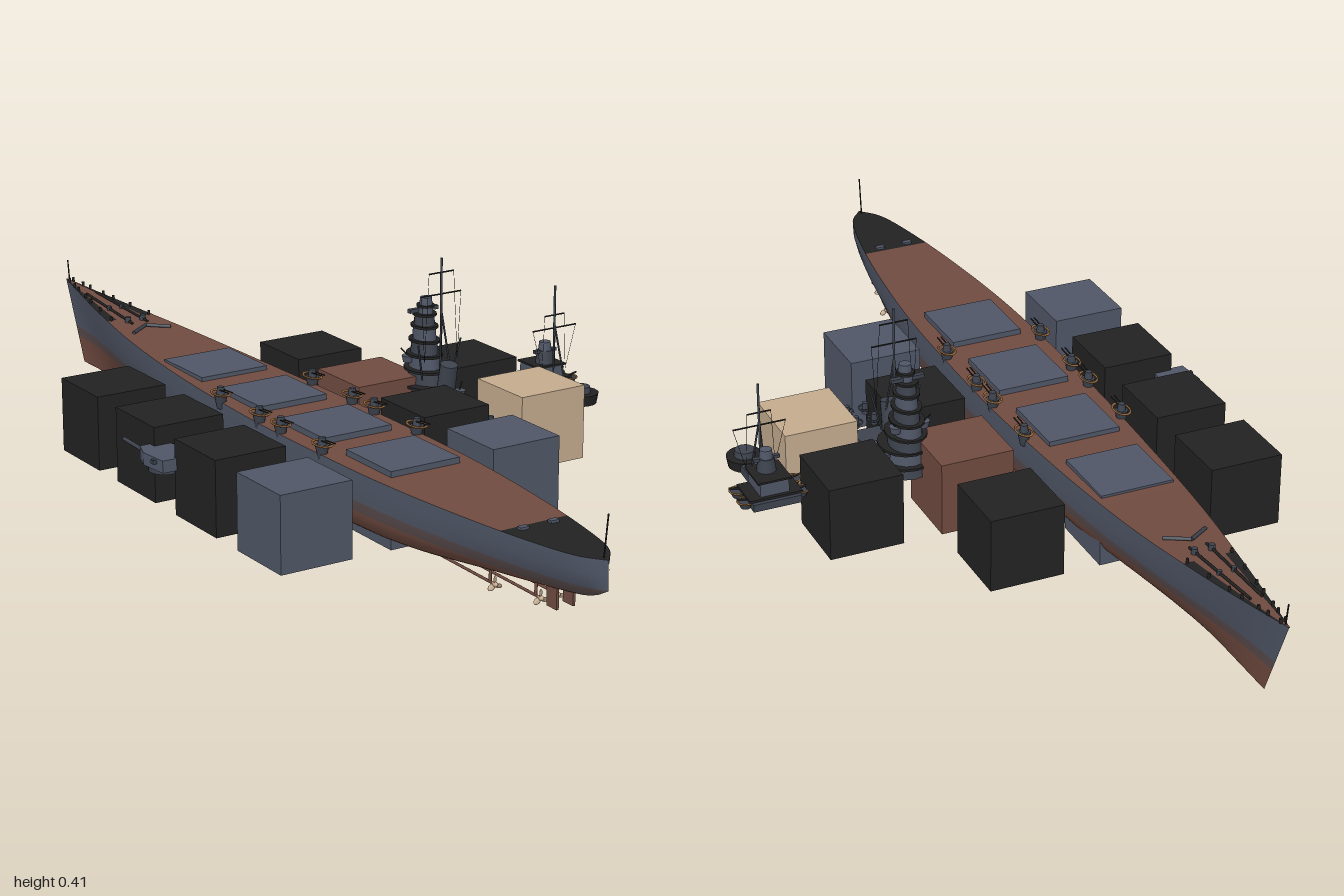
import * as THREE from 'three';

const material = (name, color, side = THREE.FrontSide) => {
  const m = new THREE.MeshStandardMaterial({ color, side });
  m.name = name;
  return m;
};

export function createModel() {
  const slate = material('slate grey', 0x4f5666);
  const brown = material('red brown', 0x704b40);
  const blend = material('waterline blend', 0x594b4c);
  const dark = material('near black', 0x222222);
  const tan = material('pale bronze', 0xc4ab8e);
  const steel = material('dark steel', 0x3d434e);
  const brass = material('brass', 0x96683a);
  const root = new THREE.Group();
  root.name = 'shipKit';

  const group = (name, x = 0, y = 0, z = 0, parent = root) => {
    const g = new THREE.Group();
    g.name = name;
    g.position.set(x, y, z);
    parent.add(g);
    return g;
  };
  const add = (parent, name, geo, mat, x = 0, y = 0, z = 0) => {
    const m = new THREE.Mesh(geo, mat);
    m.name = name;
    m.position.set(x, y, z);
    parent.add(m);
    return m;
  };
  const box = (p, name, mat, w, h, d, x, y, z) => add(p, name, new THREE.BoxGeometry(w, h, d), mat, x, y, z);
  const cyl = (p, name, mat, r0, r1, h, x, y, z, n = 12) =>
    add(p, name, new THREE.CylinderGeometry(r1, r0, h, n), mat, x, y, z);
  const rod = (p, name, mat, a, b, r, n = 6) => {
    const va = new THREE.Vector3(...a), vb = new THREE.Vector3(...b), dir = vb.clone().sub(va);
    const m = add(p, name, new THREE.CylinderGeometry(r, r, dir.length(), n), mat);
    m.position.copy(va).add(vb).multiplyScalar(0.5);
    m.quaternion.setFromUnitVectors(new THREE.Vector3(0, 1, 0), dir.normalize());
    return m;
  };

  // Hull: lofted sections [z, half width, deck height, keel height, fullness]
  const stations = [
    [-1, 0.001, 0.188, 0.012, 1], [-0.9, 0.02, 0.18, 0.012, 1.1], [-0.75, 0.047, 0.17, 0.012, 1.4],
    [-0.55, 0.077, 0.16, 0.012, 2], [-0.3, 0.1, 0.152, 0.012, 3.2], [0, 0.115, 0.148, 0.012, 4],
    [0.3, 0.115, 0.148, 0.012, 4], [0.5, 0.106, 0.148, 0.018, 3.5], [0.7, 0.085, 0.148, 0.038, 2.8],
    [0.85, 0.061, 0.148, 0.053, 2.4], [0.95, 0.036, 0.148, 0.067, 2.2], [1, 0.001, 0.147, 0.09, 2],
  ];
  const spline = f => new THREE.CatmullRomCurve3(stations.map(f), false, 'catmullrom').getPoints(88);
  const upper = spline(s => new THREE.Vector3(s[1], s[2], s[0]));
  const lower = spline(s => new THREE.Vector3(s[4], s[3], s[0]));
  const hull = group('hull', -0.165);

  // Builds a skin from rows of points, with one material index per face
  const skin = (name, rows, mats, pick, flip) => {
    const n = rows[0].length, lists = mats.map(() => []);
    for (let i = 0; i < rows.length - 1; i++) for (let j = 0; j < n - 1; j++) {
      const a = i * n + j, b = a + 1, c = a + n, d = c + 1;
      lists[pick(i, j)].push(...(flip ? [a, c, b, b, c, d] : [a, b, c, b, d, c]));
    }
    const geo = new THREE.BufferGeometry();
    geo.setAttribute('position', new THREE.Float32BufferAttribute(rows.flat(2), 3));
    geo.setIndex(lists.flat());
    let start = 0;
    lists.forEach((l, k) => { geo.addGroup(start, l.length, k); start += l.length; });
    geo.computeVertexNormals();
    return add(hull, name, geo, mats);
  };
  const LOW = 9, W0 = 0.068, W1 = 0.09;
  const sections = upper.map((u, i) => {
    const { x: full, y: keel } = lower[i], ys = [];
    for (let k = 0; k <= LOW; k++) ys.push(keel + Math.max(0, W0 - keel) * (k / LOW) ** 2);
    ys.push(Math.max(keel, W1), (Math.max(keel, W1) + u.y) / 2, u.y);
    const rake = 0.075 * THREE.MathUtils.smoothstep(-u.z, 0.6, 1);
    const side = ys.map(y => {
      const f = (y - keel) / (u.y - keel);
      return [u.x * (1 - (1 - f) ** full) ** (1 / full), y, u.z + rake * (1 - f)];
    });
    return [...side.slice(1).reverse().map(([x, y, z]) => [-x, y, z]), ...side];
  });
  const half = LOW + 3;
  skin('hullSides', sections, [slate, blend, brown], (i, j) => {
    const k = j < half ? half - 1 - j : j - half;
    return k < LOW ? 2 : k === LOW ? 1 : 0;
  });
  skin('deck', upper.map(u => [-1, -0.6, 0.6, 1].map(k => [k * u.x, u.y, u.z])), [brown, dark],
    (i, j) => (upper[i].z > 0.765 || (upper[i].z < -0.72 && j !== 1) ? 1 : 0), true);

  // Deck fittings at bow and stern
  for (const s of [-1, 1]) {
    rod(hull, 'anchorChain', dark, [s * 0.012, 0.182, -0.88], [s * 0.018, 0.168, -0.66], 0.003);
    cyl(hull, 'capstan', steel, 0.007, 0.006, 0.012, s * 0.018, 0.172, -0.68);
    cyl(hull, 'capstan', steel, 0.005, 0.005, 0.01, s * 0.015, 0.175, -0.77);
    rod(hull, 'breakwater', steel, [0, 0.168, -0.635], [s * 0.045, 0.165, -0.605], 0.004);
    box(hull, 'sternHatch', slate, 0.018, 0.006, 0.012, s * 0.033, 0.15, 0.795);
    for (let i = 0; i < 7; i++) {
      const u = upper[Math.round(2 + i * 2.6)];
      cyl(hull, 'bollard', dark, 0.003, 0.003, 0.01, s * u.x * 0.85, u.y + 0.004, u.z, 8);
    }
  }
  rod(hull, 'jackstaff', dark, [0, 0.18, -0.985], [0, 0.232, -0.992], 0.0015);
  rod(hull, 'ensignStaff', dark, [0, 0.147, 0.985], [0, 0.23, 0.995], 0.0015);

  // Gun sponsons and hoops along both deck edges
  for (const s of [-1, 1]) for (const z of [-0.13, 0.02, 0.1, 0.25]) {
    cyl(hull, 'sponson', steel, 0.008, 0.014, 0.03, s * 0.108, 0.15, z);
    const hoop = add(hull, 'sponsonRail', new THREE.TorusGeometry(0.016, 0.002, 6, 20), brass, s * 0.108, 0.167, z);
    hoop.rotation.x = Math.PI / 2;
    hoop.scale.y = 1.6;
    cyl(hull, 'gunMount', steel, 0.009, 0.007, 0.016, s * 0.108, 0.172, z);
    for (const o of [-0.004, 0.004])
      rod(hull, 'gunBarrel', dark, [s * 0.108 + o, 0.174, z], [s * 0.108 + o, 0.177, z + 0.04], 0.0015);
  }

  // Propellers, shafts and rudders
  for (const [x, y, z] of [[0.046, 0.025, 0.73], [0.018, 0.026, 0.83]]) for (const s of [-1, 1]) {
    const prop = group('propeller', s * x, y, z, hull);
    rod(prop, 'shaft', brown, [0, 0, 0], [0, 0.002, -0.2], 0.003);
    rod(prop, 'strut', brown, [0, 0, -0.015], [-s * 0.005, 0.045, -0.02], 0.003);
    add(prop, 'hub', new THREE.SphereGeometry(0.005, 10, 8), tan).scale.z = 1.6;
    for (let k = 0; k < 3; k++) {
      const arm = group('bladeArm', 0, 0, 0, prop);
      arm.rotation.z = k * Math.PI * 2 / 3;
      const blade = add(arm, 'blade', new THREE.SphereGeometry(0.008, 10, 8), tan, 0, 0.009, 0);
      blade.scale.set(0.7, 1, 0.2);
      blade.rotation.y = 0.5;
    }
  }
  for (const s of [-1, 1]) box(hull, 'rudder', brown, 0.005, 0.045, 0.03, s * 0.018, 0.042, 0.865);

  // Blocks laid out in a grid: columns by x, rows by z
  const zs = [-0.336, -0.105, 0.13, 0.363];
  const blocks = [[-0.405, [dark, dark, dark, slate]], [-0.165, [slate, slate, slate, slate]],
    [0.067, [dark, brown, dark, slate]], [0.303, [null, dark, tan, null]]];
  for (const [x, mats] of blocks)
    mats.forEach((m, i) => m && box(root, 'block', m, 0.155, 0.155, 0.155, x, 0.0825, zs[i]));

  // Twin-gun turret
  const turret = group('turret', -0.479, 0.085, 0);
  cyl(turret, 'barbette', steel, 0.034, 0.034, 0.014, 0, 0.007, 0.01, 24);
  const plan = new THREE.Shape([[-0.026, -0.045], [0.026, -0.045], [0.04, -0.005], [0.034, 0.06], [-0.034, 0.06], [-0.04, -0.005]]
    .map(([x, z]) => new THREE.Vector2(x, -z)));
  const house = add(turret, 'gunHouse', new THREE.ExtrudeGeometry(plan, { depth: 0.025, bevelEnabled: false }), slate, 0, 0.012, 0);
  house.rotation.x = -Math.PI / 2;
  box(turret, 'rangefinder', steel, 0.088, 0.008, 0.01, 0, 0.03, 0.035);
  for (const s of [-1, 1]) rod(turret, 'gunBarrel', steel, [s * 0.013, 0.022, -0.03], [s * 0.013, 0.025, -0.132], 0.004, 10);

  // Mast with yards and rigging, shared by both towers
  const mast = (p, z, y0, y1, yards, spread, foot) => {
    rod(p, 'mast', steel, [0, y0, z], [0, y1, z], 0.0025, 8);
    for (const [y, w] of yards) {
      rod(p, 'yard', dark, [-w, y, z], [w, y, z], 0.0016);
      for (const s of [-1, 1]) rod(p, 'rigging', dark, [s * w, y, z], [s * spread, foot, z], 0.0005, 4);
    }
    for (const s of [-1, 1]) rod(p, 'mastLeg', steel, [s * 0.016, y0 - 0.05, z + 0.02], [0, (y0 + y1) / 2, z], 0.002);
  };

  // Tall command tower: stacked levels [y, height, width, depth, z]
  const bridge = group('commandTower', 0.16);
  const levels = [
    [0.085, 0.025, 0.11, 0.13, -0.025], [0.11, 0.03, 0.088, 0.11, -0.03], [0.14, 0.03, 0.07, 0.095, -0.04],
    [0.17, 0.03, 0.058, 0.08, -0.045], [0.2, 0.03, 0.05, 0.07, -0.045], [0.23, 0.03, 0.044, 0.06, -0.045],
    [0.26, 0.025, 0.04, 0.05, -0.045], [0.285, 0.018, 0.03, 0.036, -0.042]];
  levels.forEach(([y, h, w, d, z], i) => {
    const room = cyl(bridge, 'level', i % 2 ? slate : steel, 0.5, 0.47, h, 0, y + h / 2, z, 16);
    room.scale.set(w, 1, d);
    const gallery = cyl(bridge, 'gallery', dark, 0.5, 0.5, 0.005, 0, y + h, z, 16);
    gallery.scale.set(w * 1.2, 1, d * 1.1);
  });
  cyl(bridge, 'director', slate, 0.014, 0.012, 0.018, 0, 0.312, -0.04, 16);
  box(bridge, 'rangefinder', steel, 0.07, 0.008, 0.01, 0, 0.293, -0.05);
  mast(bridge, 0.015, 0.2, 0.415, [[0.385, 0.03], [0.34, 0.048]], 0.04, 0.2);
  box(bridge, 'rearDeck', steel, 0.085, 0.006, 0.1, 0.005, 0.09, 0.08);
  const funnel = cyl(bridge, 'funnel', steel, 0.02, 0.018, 0.1, 0, 0.15, 0.035, 16);
  funnel.rotation.x = 0.2;
  for (const s of [-1, 1]) {
    rod(bridge, 'crane', steel, [s * 0.035, 0.16, 0], [s * 0.052, 0.238, 0.01], 0.002);
    for (const [y, z] of [[0.13, -0.05], [0.12, 0.01], [0.19, -0.06]]) {
      const x = s * (y > 0.15 ? 0.03 : 0.05);
      cyl(bridge, 'gunTub', slate, 0.01, 0.013, 0.014, x, y, z);
      rod(bridge, 'gunBarrel', dark, [x, y + 0.006, z], [x + s * 0.012, y + 0.022, z - 0.008], 0.0015);
    }
    for (const z of [0.02, 0.15, 0.2]) {
      const ring = add(bridge, 'tubRail', new THREE.TorusGeometry(0.013, 0.002, 6, 18), z < 0.1 ? brass : steel,
        z < 0.1 ? s * 0.052 : 0.01 + s * 0.02, 0.1, z);
      ring.rotation.x = Math.PI / 2;
      cyl(bridge, 'mount', steel, 0.007, 0.006, 0.025, ring.position.x, 0.1, z);
    }
  }

  // Shorter after tower
  const after = group('afterTower', 0.448);
  box(after, 'base', steel, 0.1, 0.016, 0.09, 0, 0.093, -0.035);
  box(after, 'upperDeck', dark, 0.11, 0.005, 0.075, 0, 0.104, -0.035);
  box(after, 'deckhouse', slate, 0.06, 0.035, 0.07, 0, 0.118, -0.03);
  box(after, 'bridgeDeck', dark, 0.07, 0.004, 0.075, 0, 0.137, -0.03);
  cyl(after, 'directorBase', steel, 0.02, 0.016, 0.03, 0, 0.152, -0.02, 16);
  cyl(after, 'director', slate, 0.014, 0.012, 0.018, 0, 0.176, -0.02, 16);
  box(after, 'rangefinder', steel, 0.055, 0.007, 0.009, 0, 0.165, -0.02);
  box(after, 'link', steel, 0.04, 0.02, 0.08, 0, 0.095, 0.04);
  cyl(after, 'rearPlatform', dark, 0.034, 0.038, 0.022, 0, 0.096, 0.105, 24);
  cyl(after, 'rearMount', steel, 0.022, 0.02, 0.014, 0, 0.113, 0.105, 16);
  mast(after, 0.012, 0.15, 0.313, [[0.25, 0.025], [0.222, 0.055]], 0.03, 0.13);
  for (const s of [-1, 1]) for (const z of [-0.055, -0.01]) {
    const rail = add(after, 'tubRail', new THREE.TorusGeometry(0.016, 0.002, 6, 18), brass, s * 0.058, 0.1, z);
    rail.rotation.x = Math.PI / 2;
    cyl(after, 'gunTub', steel, 0.01, 0.015, 0.014, s * 0.058, 0.093, z);
    rod(after, 'gunBarrel', dark, [s * 0.055, 0.103, z], [s * 0.076, 0.108, z], 0.002);
  }
  return root;
}
